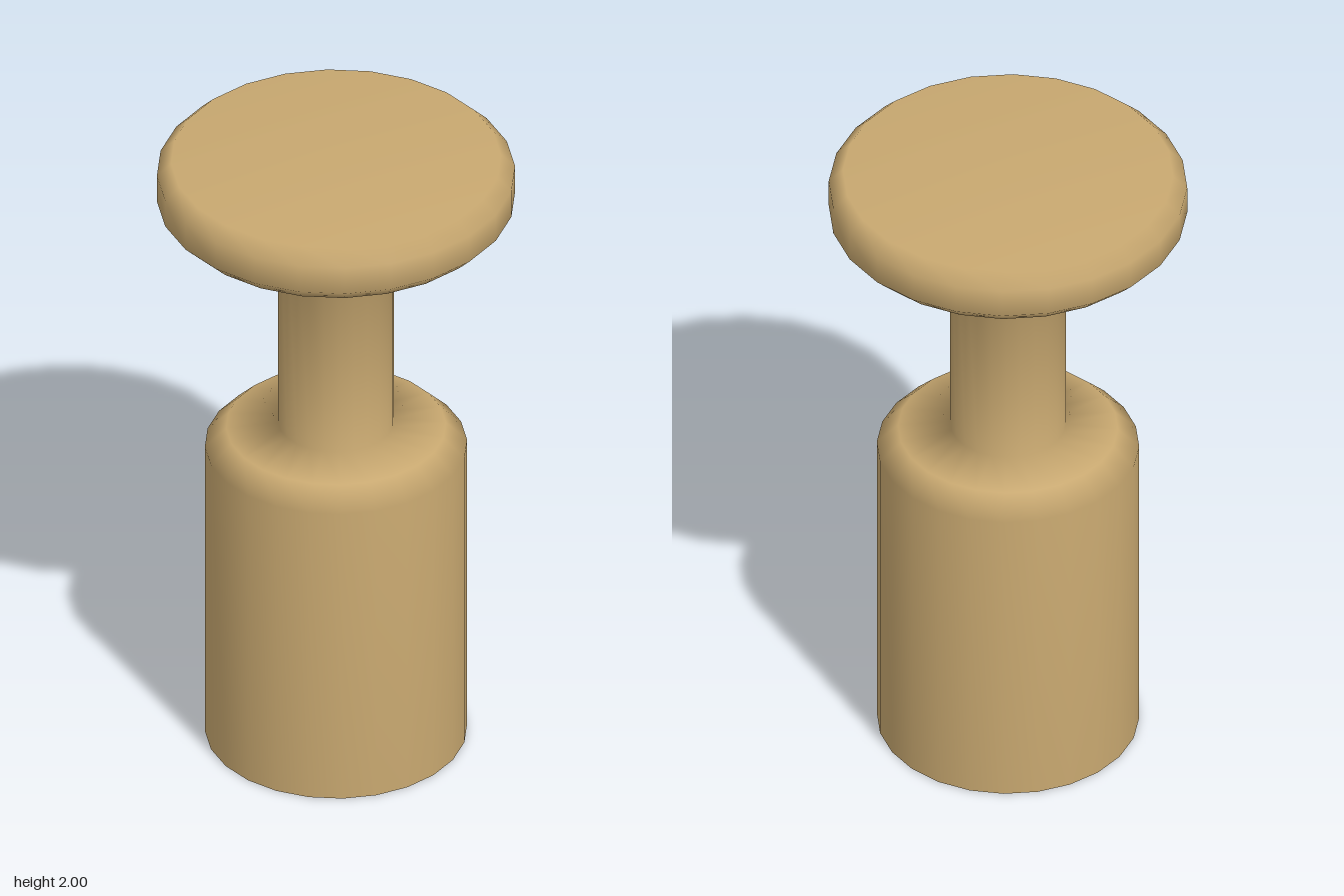
import * as THREE from 'three';

// One smooth turned surface: hollow barrel, slim stem and wide disc head.
export function createModel() {
  const model = new THREE.Group();
  model.name = 'turnedKnob';

  const tan = new THREE.MeshStandardMaterial({ color: 0xc8a870, side: THREE.DoubleSide });
  tan.name = 'tan';

  const profile = [
    // barrel, open at the bottom, with a bevelled shoulder
    [0.388, 0], [0.388, 1.0], [0.325, 1.063],
    // stem
    [0.172, 1.08], [0.172, 1.826],
    // disc head with bevelled rims
    [0.488, 1.826], [0.53, 1.868], [0.53, 1.958], [0.488, 2], [0, 2],
  ].map(([r, y]) => new THREE.Vector2(r, y));

  const body = new THREE.Mesh(new THREE.LatheGeometry(profile, 24), tan);
  body.name = 'barrelStemAndHead';
  model.add(body);

  return model;
}
